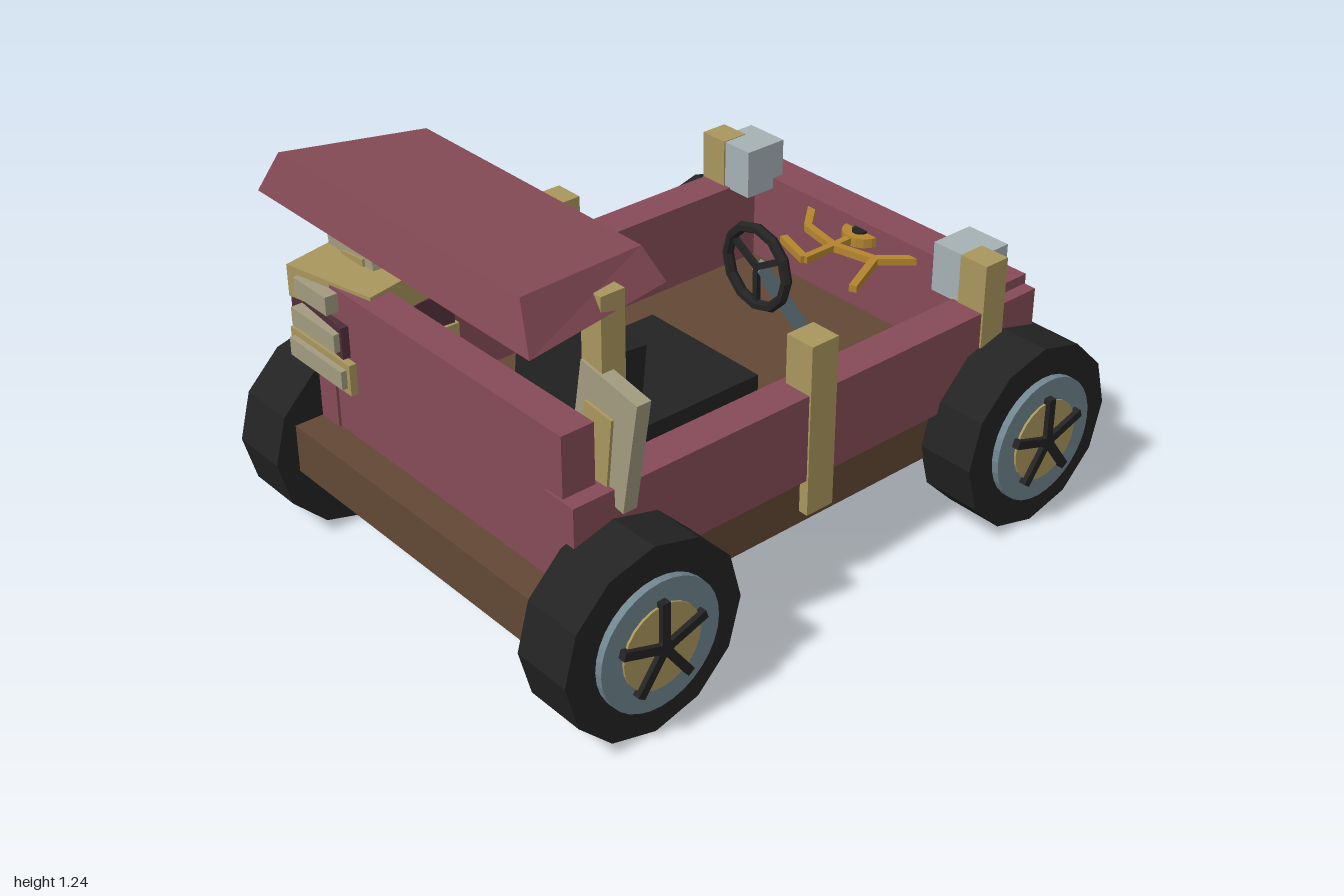
import * as THREE from 'three';

const mat = (name, color) => {
  const m = new THREE.MeshStandardMaterial({ color, flatShading: true });
  m.name = name;
  return m;
};

export function createModel() {
  const car = new THREE.Group();
  car.name = 'openBuggy';
  const red = mat('faded red paint', 0x864b57);
  const brown = mat('brown wood', 0x624835);
  const tan = mat('tan wood', 0xaa975d);
  const black = mat('black rubber', 0x232323);
  const silver = mat('lamp silver', 0xa6b1b5);
  const steel = mat('blue steel', 0x708690);
  const gold = mat('gold metal', 0xb4852e);
  const canvas = mat('grey canvas', 0xa29b80);
  const maroon = mat('dark maroon', 0x4e2e38);

  const add = (name, geo, material, parent = car) => {
    const m = new THREE.Mesh(geo, material);
    m.name = name;
    parent.add(m);
    return m;
  };
  // Box given by its extents on each axis
  const box = (name, material, [x0, x1], [y0, y1], [z0, z1], parent = car) => {
    const m = add(name, new THREE.BoxGeometry(x1 - x0, y1 - y0, z1 - z0), material, parent);
    m.position.set((x0 + x1) / 2, (y0 + y1) / 2, (z0 + z1) / 2);
    return m;
  };
  // Straight bar between two points
  const bar = (name, material, a, b, w, h) => {
    const p = new THREE.Vector3(...a), q = new THREE.Vector3(...b);
    const m = add(name, new THREE.BoxGeometry(w, h, p.distanceTo(q)), material);
    m.position.copy(p).add(q).multiplyScalar(0.5);
    m.lookAt(q);
    return m;
  };

  // Chassis and end walls
  box('chassis', brown, [-0.555, 0.555], [0.24, 0.39], [-0.93, 0.93]);
  box('tallEndWall', red, [-0.47, 0.53], [0.39, 0.835], [0.73, 0.832]);
  box('lowEndWall', red, [-0.54, 0.54], [0.39, 0.685], [-0.843, -0.725]);

  // Parts mirrored on both sides
  for (const s of [-1, 1]) {
    const span = (a, b) => (s > 0 ? [a, b] : [-b, -a]);
    box('sideWall', red, span(0.467, 0.58), [0.39, 0.655], [-0.84, 0.84]);
    box('middlePost', tan, span(0.49, 0.586), [0.28, 0.805], [-0.045, 0.05]);
    box('lampPost', tan, span(0.49, 0.586), [0.28, 0.805], [-0.702, -0.615]);
    box('canopyPost', tan, span(0.453, 0.53), [0.45, 1.168], [0.628, 0.702]);
    box('lamp', silver, span(0.385, 0.53), [0.65, 0.803], [-0.765, -0.62]);

    // Tilted side panel with an inset board
    const panel = new THREE.Group();
    panel.name = 'tiltedPanel';
    panel.position.set(s * 0.535, 0.785, 0.688);
    panel.rotation.z = -s * 0.17;
    box('panelBoard', canvas, [-0.107, 0.107], [-0.17, 0.17], [-0.022, 0.022], panel);
    const inset = box('panelInset', tan, [-0.052, 0.052], [-0.135, 0.135], [-0.02, 0.03], panel);
    inset.position.x = -s * 0.01;
    inset.position.y = -0.06;
    inset.rotation.z = s * 0.06;
    car.add(panel);
  }

  // Canopy: a box narrowed towards the top and towards one end
  const roof = new THREE.BoxGeometry(1, 1, 1);
  const rp = roof.attributes.position;
  for (let i = 0; i < rp.count; i++) {
    const top = rp.getY(i) > 0, front = rp.getZ(i) > 0;
    const halfWidth = top ? (front ? 0.51 : 0.445) : (front ? 0.58 : 0.5);
    rp.setXYZ(i, Math.sign(rp.getX(i)) * halfWidth,
      top ? (front ? 1.24 : 1.205) : 1.115,
      top ? (front ? 0.922 : 0.505) : (front ? 0.953 : 0.472));
  }
  roof.computeVertexNormals();
  add('canopy', roof, red);

  // Stacked luggage with front labels
  const cases = [
    ['lowerCase', tan, [0.29, 0.095, 0.365], [-0.51, 0.588, 0.672], 0, 0.255],
    ['middleCase', maroon, [0.29, 0.097, 0.35], [-0.52, 0.693, 0.668], -0.09, 0.21],
    ['upperCase', tan, [0.314, 0.097, 0.353], [-0.51, 0.797, 0.66], 0.21, 0.155],
  ];
  for (const [name, material, size, pos, turn, w] of cases) {
    const c = add(name, new THREE.BoxGeometry(...size), material);
    c.position.set(...pos);
    c.rotation.y = turn;
    box('caseStrap', canvas, [-0.508 - w / 2, -0.508 + w / 2],
      [pos[1] - 0.028, pos[1] + 0.028], [0.82, 0.872]);
  }

  // Seat
  box('seatCushion', black, [-0.228, 0.225], [0.385, 0.5], [-0.1, 0.36]);
  const back = new THREE.Group();
  back.name = 'seatBack';
  back.position.set(0, 0.58, 0.36);
  back.rotation.x = -0.1;
  box('backrest', black, [-0.225, 0.222], [-0.17, 0.175], [-0.04, 0.04], back);
  box('backrestPad', maroon, [-0.165, 0.165], [-0.08, 0.145], [-0.052, -0.03], back);
  car.add(back);

  // Steering wheel and column
  const wheel = add('steeringWheel', new THREE.TorusGeometry(0.123, 0.017, 6, 12), black);
  wheel.position.set(0, 0.68, -0.3);
  for (let i = 0; i < 3; i++) {
    const spoke = add('steeringSpoke', new THREE.BoxGeometry(0.018, 0.12, 0.015), black);
    const a = i * Math.PI * 2 / 3;
    spoke.position.set(Math.sin(a) * 0.06, 0.68 - Math.cos(a) * 0.06, -0.3);
    spoke.rotation.z = a;
  }
  bar('steeringColumn', steel, [0, 0.68, -0.31], [0, 0.39, -0.5], 0.025, 0.04);

  // Gold ornament: flattened ring with three branches and a centre boss
  const gy = 0.638;
  const ring = [];
  for (let i = 0; i < 8; i++) {
    const a = i * Math.PI / 4;
    ring.push([Math.sin(a) * 0.225, gy, -0.74 + Math.cos(a) * 0.13]);
  }
  ring[1] = [0.14, gy, -0.64];
  ring[7] = [-0.14, gy, -0.64];
  ring[3] = [0.14, gy, -0.847];
  ring[5] = [-0.14, gy, -0.847];
  ring.forEach((p, i) => bar('ornamentRing', gold, p, ring[(i + 1) % 8], 0.024, 0.022));
  bar('ornamentBranch', gold, [0, gy, -0.72], [0, gy, -0.49], 0.022, 0.022);
  bar('ornamentBranch', gold, [0, gy, -0.49], [-0.135, gy, -0.535], 0.024, 0.022);
  bar('ornamentBranch', gold, [0.14, gy, -0.64], [0.22, gy, -0.47], 0.024, 0.022);
  add('ornamentBoss', new THREE.CylinderGeometry(0.065, 0.065, 0.03, 16), gold).position.set(0, gy, -0.735);
  add('bossCap', new THREE.CylinderGeometry(0.025, 0.025, 0.012, 12), black).position.set(0, gy + 0.016, -0.72);

  // Road wheels, built along +x and turned for the other side
  for (const s of [-1, 1]) for (const z of [-0.715, 0.715]) {
    const w = new THREE.Group();
    w.name = 'roadWheel';
    w.position.set(s * 0.643, 0.286, z);
    if (s < 0) w.rotation.y = Math.PI;
    const disc = (name, r, x0, x1, sides, material) => {
      const g = new THREE.CylinderGeometry(r, r, x1 - x0, sides).rotateZ(-Math.PI / 2);
      add(name, g, material, w).position.x = (x0 + x1) / 2;
    };
    disc('tyre', 0.286, -0.093, 0.093, 12, black);
    disc('rim', 0.192, 0.05, 0.115, 32, steel);
    disc('hubDisc', 0.125, 0.08, 0.122, 24, tan);
    disc('hubCap', 0.026, 0.1, 0.137, 10, black);
    for (let i = 0; i < 5; i++) {
      const a = i * Math.PI * 2 / 5;
      const spoke = add('wheelSpoke', new THREE.BoxGeometry(0.03, 0.14, 0.025), black, w);
      spoke.position.set(0.122, Math.cos(a) * 0.07, Math.sin(a) * 0.07);
      spoke.rotation.x = a;
    }
    car.add(w);
  }
  return car;
}
